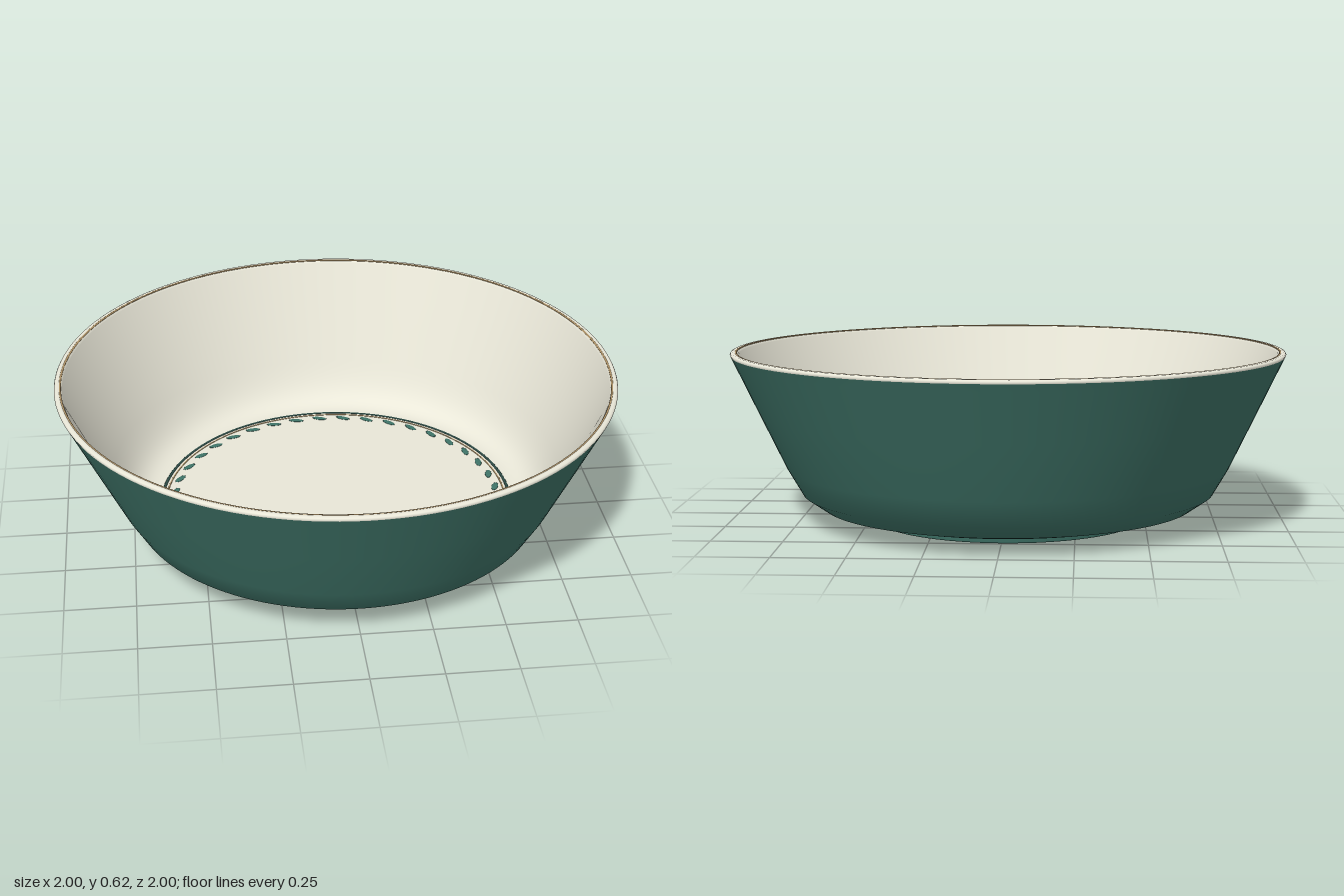
import * as THREE from 'three';

const SEGMENTS = 128;
const FLOOR_Y = 0.095;

export function createModel() {
  const bowl = new THREE.Group();
  bowl.name = 'bowl';

  const paint = (color) => new THREE.MeshStandardMaterial({ color, roughness: 0.5 });
  const green = paint(0x3f7468);
  const cream = paint(0xe9e7d8);
  const darkGreen = paint(0x2c4a44);
  const gold = paint(0xb09468);

  const add = (name, geometry, material, parent = bowl) => {
    const mesh = new THREE.Mesh(geometry, material);
    mesh.name = name;
    parent.add(mesh);
    return mesh;
  };

  // Profiles run outward under the bowl, up the outside and down the inside
  const lathe = (name, points, material) =>
    add(name, new THREE.LatheGeometry(points.map(([r, y]) => new THREE.Vector2(r, y)), SEGMENTS), material);

  // Flattened painted band
  const band = (name, radius, y, width, height, material) => {
    const ring = add(name, new THREE.TorusGeometry(radius, width / 2, 8, SEGMENTS), material);
    ring.rotation.x = Math.PI / 2;
    ring.scale.z = height / width;
    ring.position.y = y;
  };

  // Glazed outside
  lathe('outerWall', [
    [0, 0.035], [0.3, 0.035], [0.56, 0.037], [0.62, 0.042], [0.68, 0.056],
    [0.75, 0.105], [0.805, 0.2], [0.9, 0.4], [0.985, 0.58], [0.998, 0.607],
  ], green);

  // Foot ring with softened edges
  lathe('footRing', [
    [0.455, 0.036], [0.458, 0.006], [0.464, 0.001], [0.47, 0],
    [0.488, 0], [0.495, 0.001], [0.499, 0.006], [0.503, 0.037],
  ], green);

  // Rounded rim
  lathe('rim', [
    [0.998, 0.607], [1, 0.612], [0.997, 0.617], [0.991, 0.62],
    [0.982, 0.62], [0.976, 0.617], [0.972, 0.61],
  ], cream);

  // Inner wall curving into the flat floor
  const bend = new THREE.CubicBezierCurve(
    new THREE.Vector2(0.81, 0.25), new THREE.Vector2(0.765, 0.15),
    new THREE.Vector2(0.73, FLOOR_Y), new THREE.Vector2(0.65, FLOOR_Y));
  lathe('innerWall', [
    [0.972, 0.61], [0.92, 0.495], [0.865, 0.373],
    ...bend.getPoints(12).map((p) => [p.x, p.y]),
    [0.6, FLOOR_Y], [0.3, FLOOR_Y], [0, FLOOR_Y],
  ], cream);

  // Painted lines
  band('rimLine', 0.979, 0.618, 0.008, 0.006, gold);
  band('floorOuterLine', 0.645, FLOOR_Y, 0.011, 0.004, darkGreen);
  band('floorInnerLine', 0.629, FLOOR_Y, 0.006, 0.004, gold);

  // Wreath of slanted leaves around the floor
  const wreath = new THREE.Group();
  wreath.name = 'leafWreath';
  bowl.add(wreath);
  const leafGeometry = new THREE.SphereGeometry(1, 16, 8).scale(0.029, 0.002, 0.012);
  const leafCount = 40;
  for (let i = 0; i < leafCount; i++) {
    const angle = (i / leafCount) * Math.PI * 2;
    const leaf = add('leaf', leafGeometry, green, wreath);
    leaf.position.set(0.6 * Math.cos(angle), FLOOR_Y + 0.001, 0.6 * Math.sin(angle));
    leaf.rotation.y = -(angle + Math.PI / 2 + 0.35);
  }

  return bowl;
}
